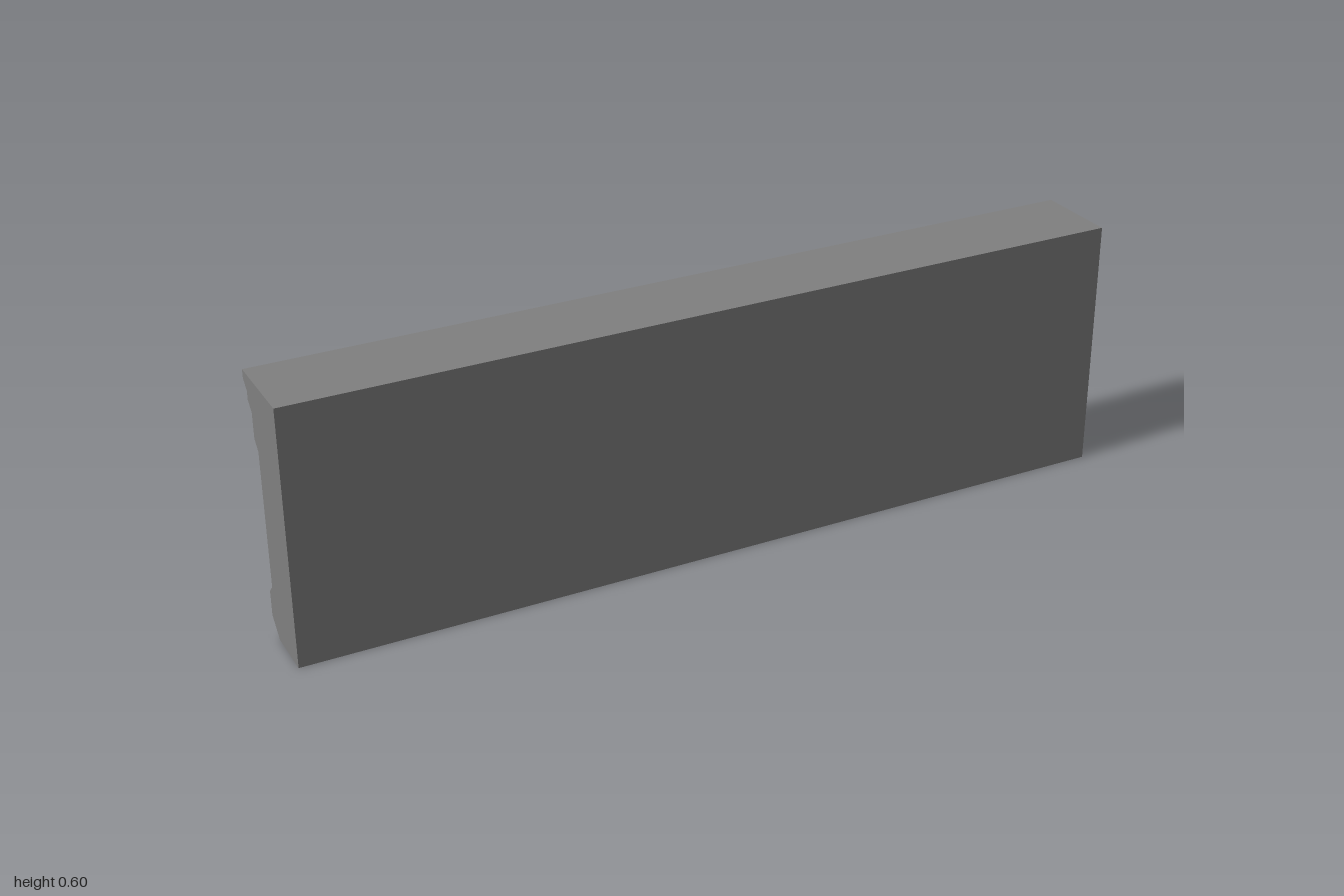
import * as THREE from 'three';

const LENGTH = 1.99;

// Moulding cross-section: [depth from the flat face, height]
const PROFILE = [
  [0, 0], [0.12, 0], [0.16, 0.04], [0.16, 0.1], [0.14, 0.12],
  [0.14, 0.44], [0.16, 0.46], [0.16, 0.52], [0.18, 0.54],
  [0.18, 0.56], [0.2, 0.58], [0.2, 0.6], [0, 0.6],
];

export function createModel() {
  const stone = new THREE.MeshStandardMaterial({ color: 0x808080 });
  stone.name = 'grey stone';

  // Sweep the cross-section along x, moulded side facing back
  const shape = new THREE.Shape(PROFILE.map(([d, y]) => new THREE.Vector2(d - 0.1, y)));
  const geometry = new THREE.ExtrudeGeometry(shape, { depth: LENGTH, bevelEnabled: false });
  geometry.translate(0, 0, -LENGTH / 2);
  geometry.rotateY(Math.PI / 2);

  const panel = new THREE.Mesh(geometry, stone);
  panel.name = 'mouldedWallPanel';
  // The panel stands at a slight angle
  panel.rotation.y = THREE.MathUtils.degToRad(-5);

  const group = new THREE.Group();
  group.name = 'wallMoulding';
  group.add(panel);
  return group;
}
